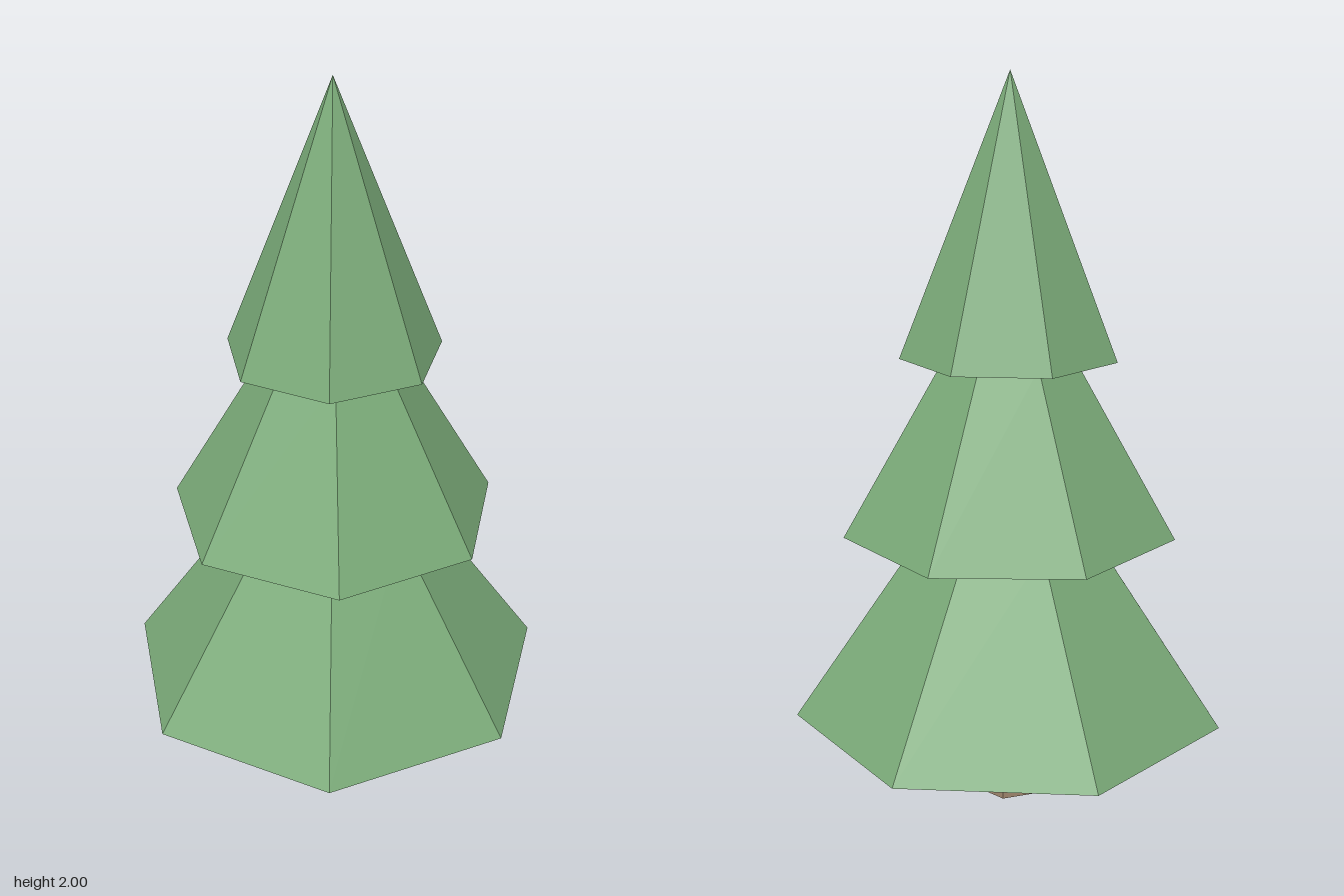
import * as THREE from 'three';

const CENTER_X = -0.025;

export function createModel() {
  const tree = new THREE.Group();
  tree.name = 'pineTree';

  const foliage = new THREE.MeshStandardMaterial({ color: 0x7aaa78, flatShading: true });
  foliage.name = 'leaf green';
  const bark = new THREE.MeshStandardMaterial({ color: 0x967e67, flatShading: true });
  bark.name = 'bark brown';

  // Tapered faceted section; turn is the angle of its first corner from +x towards +z
  function addSection(name, material, sides, bottomY, topY, bottomR, topR, turn) {
    const start = Math.PI / 2 - THREE.MathUtils.degToRad(turn);
    const geometry = new THREE.CylinderGeometry(topR, bottomR, topY - bottomY, sides, 1, false, start);
    const mesh = new THREE.Mesh(geometry, material);
    mesh.name = name;
    mesh.position.set(CENTER_X, (bottomY + topY) / 2, 0);
    tree.add(mesh);
  }

  // Six-sided trunk
  addSection('trunk', bark, 6, 0, 0.26, 0.09, 0.035, 0);

  // Seven-sided foliage tiers, each turned a little
  addSection('lowerFoliage', foliage, 7, 0.26, 0.78, 0.597, 0.235, 1.3);
  addSection('middleFoliage', foliage, 7, 0.78, 1.26, 0.456, 0.177, -1.7);
  addSection('topFoliage', foliage, 7, 1.26, 2, 0.295, 0, 2);

  return tree;
}
